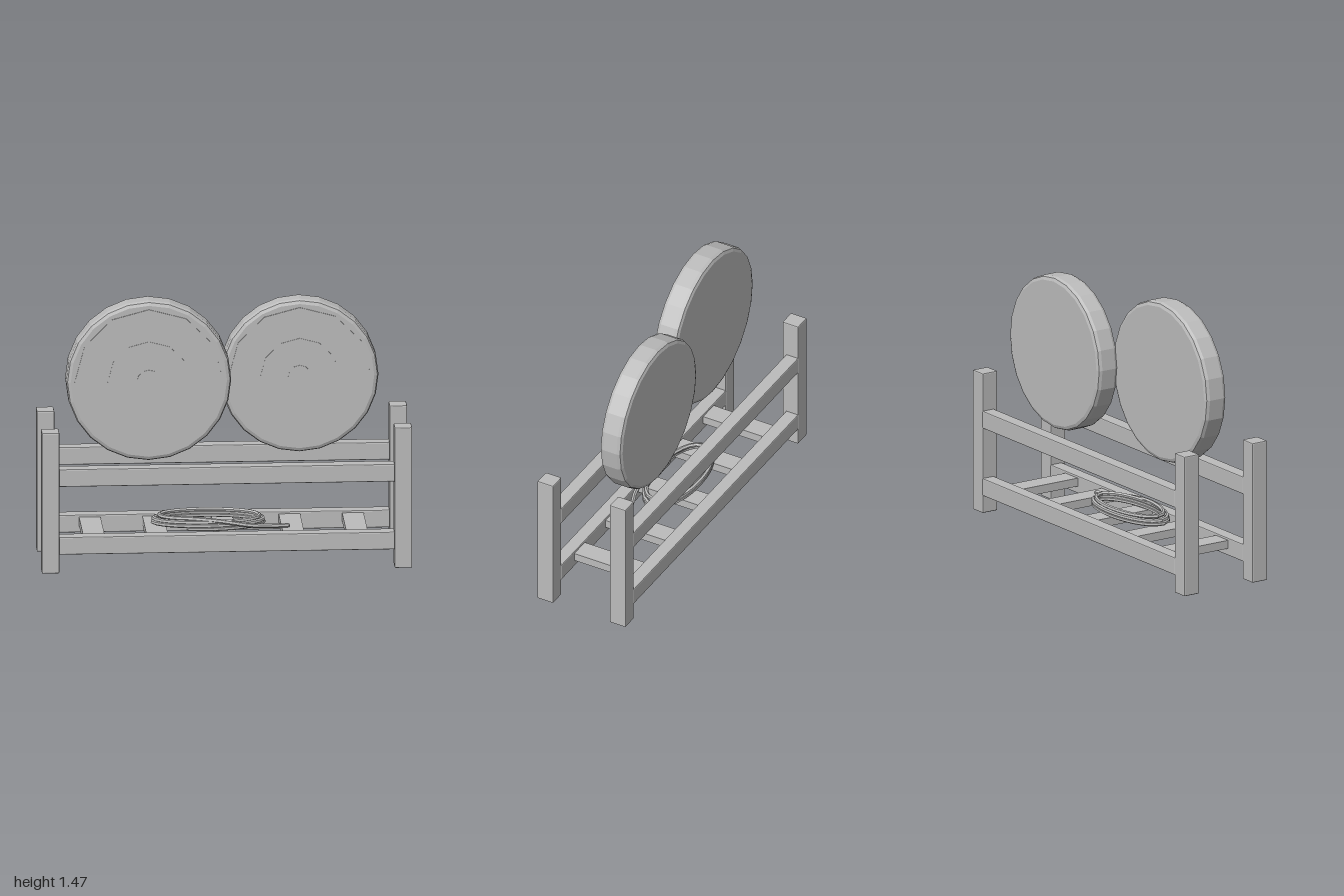
import * as THREE from 'three';
import { RoundedBoxGeometry } from 'three/addons/geometries/RoundedBoxGeometry.js';

export function createModel() {
  const model = new THREE.Group();
  const grey = new THREE.MeshStandardMaterial({ color: 0xbcbcbc, flatShading: true });
  grey.name = 'plain grey';

  const add = (name, geometry, parent = model) => {
    const mesh = new THREE.Mesh(geometry, grey);
    mesh.name = name;
    parent.add(mesh);
    return mesh;
  };
  // Bevelled timber given by its minimum and maximum corners
  const timber = (name, [x0, y0, z0], [x1, y1, z1], bevel = 0.006) =>
    add(name, new RoundedBoxGeometry(x1 - x0, y1 - y0, z1 - z0, 1, bevel))
      .position.set((x0 + x1) / 2, (y0 + y1) / 2, (z0 + z1) / 2);

  // Two side frames: posts and rails, with both sets of rails flush to the rear of their posts
  for (const [side, z] of [['front', 0.175], ['back', -0.272]]) {
    timber(side + 'LeftPost', [0.905, 0, z], [1, 0.785, z + 0.098]);
    timber(side + 'RightPost', [-1, 0, z], [-0.905, 0.785, z + 0.098]);
    timber(side + 'LowerRail', [-0.91, 0.098, z], [0.91, 0.196, z + 0.075]);
    timber(side + 'UpperRail', [-0.91, 0.477, z], [0.91, 0.575, z + 0.075]);
  }

  // Cross slats
  for (const x of [-0.713, -0.371, 0, 0.365, 0.708])
    add('slat', new THREE.BoxGeometry(0.116, 0.046, 0.376)).position.set(x, 0.161, -0.011);

  // Round target: bevelled drum with thin stepped rings on the front face
  function target(name, x, y, r, zBack, zFront) {
    const group = new THREE.Group();
    group.name = name;
    const profile = [
      [0, zBack], [r - 0.024, zBack], [r - 0.007, zBack + 0.007], [r, zBack + 0.024],
      [r, zFront - 0.024], [r - 0.007, zFront - 0.007], [r - 0.024, zFront], [0, zFront],
    ].map(([a, b]) => new THREE.Vector2(a, b));
    add('drum', new THREE.LatheGeometry(profile, 24).rotateX(Math.PI / 2), group);
    [['outerRing', 0.9, 12], ['middleRing', 0.5, 12], ['bullseye', 0.148, 12]].forEach(([ring, k, sides], i) => {
      const depth = 0.005 + i * 0.003;
      const disc = new THREE.CylinderGeometry(r * k, r * k, depth, sides).rotateX(Math.PI / 2);
      add(ring, disc, group).position.z = zFront + depth / 2;
    });
    group.position.set(x, y, 0);
    model.add(group);
  }
  target('largeTarget', -0.412, 1.021, 0.446, -0.028, 0.107);
  target('smallTarget', 0.41, 1.002, 0.427, -0.15, -0.018);

  // Coiled rope: three oval turns rising from the slats, then a loose tail
  const points = [];
  const turns = 3, steps = 16;
  for (let i = 0; i <= turns * steps; i++) {
    const t = i / (turns * steps);
    const a = Math.PI * 0.62 - t * turns * Math.PI * 2;
    const shrink = 1 - 0.1 * Math.max(0, t * 3 - 1.6);
    points.push(new THREE.Vector3(
      -0.088 + 0.3 * shrink * Math.cos(a), 0.198 + 0.052 * t, 0.01 + 0.13 * shrink * Math.sin(a)));
  }
  points.push(
    new THREE.Vector3(-0.03, 0.24, 0.137), new THREE.Vector3(0.14, 0.215, 0.143),
    new THREE.Vector3(0.24, 0.203, 0.112), new THREE.Vector3(0.34, 0.197, 0.082));
  const rope = new THREE.Group();
  rope.name = 'rope';
  model.add(rope);
  add('coil', new THREE.TubeGeometry(new THREE.CatmullRomCurve3(points), 110, 0.012, 6), rope);
  for (const p of [points[0], points[points.length - 1]])
    add('ropeEnd', new THREE.SphereGeometry(0.012, 6, 4), rope).position.copy(p);

  return model;
}
